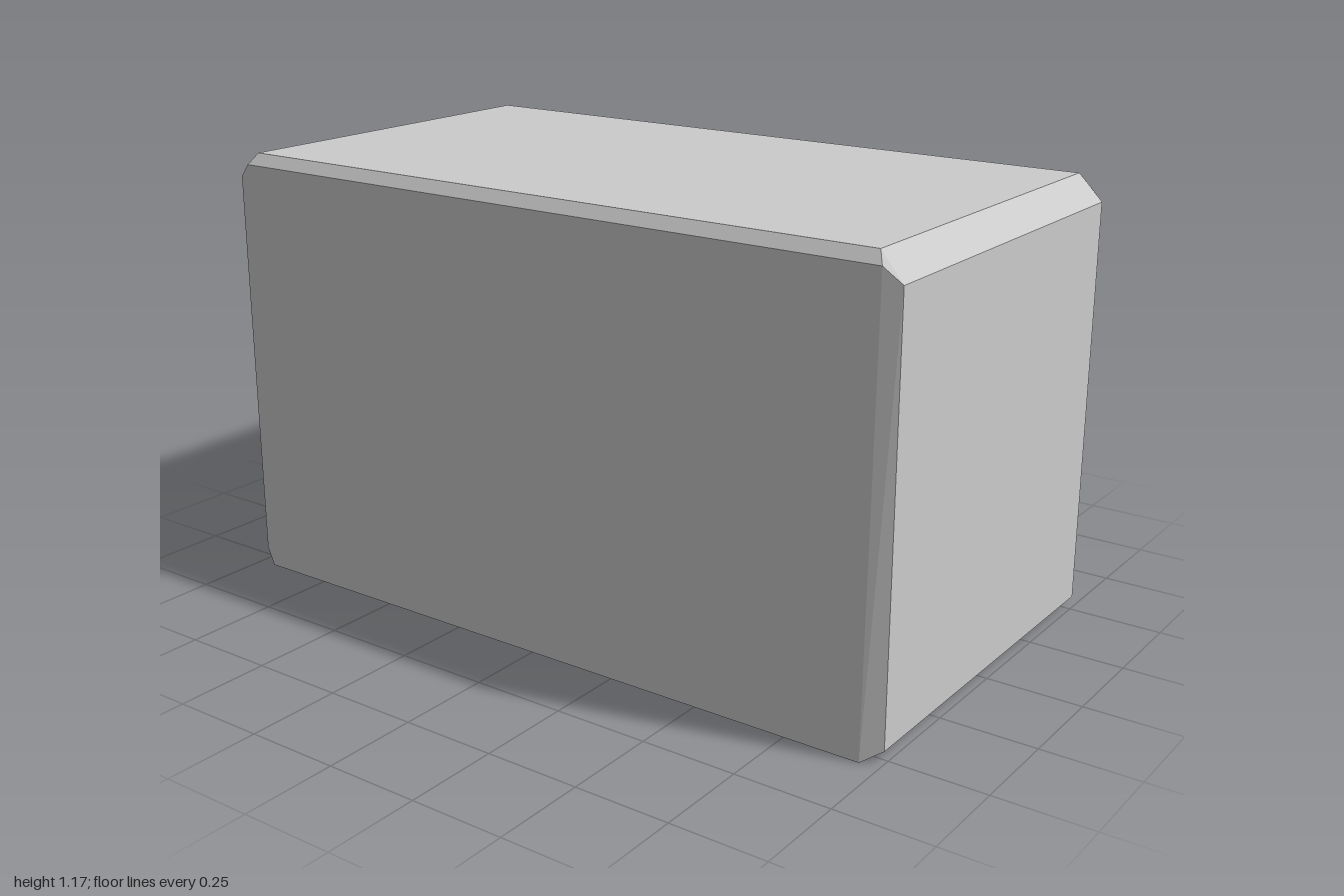
import * as THREE from 'three';
import { ConvexGeometry } from 'three/addons/geometries/ConvexGeometry.js';

const grey = new THREE.MeshStandardMaterial({ color: 0xcccccc, flatShading: true });
const black = new THREE.MeshStandardMaterial({ color: 0x0a0a0a });
const CX = -0.005; // body is slightly off centre because the buttons stick out

// x of the gently leaning control side at height y
const sideX = (y) => 0.535 - 0.0085 * y;
const LEAN = Math.atan(0.0085);

function add(group, name, geometry, material) {
  const mesh = new THREE.Mesh(geometry, material);
  mesh.name = name;
  group.add(mesh);
  return mesh;
}

// Chamfered shell, leaving out the +x face, which the control panel fills
function shellGeometry() {
  const points = [];
  for (const sx of [-1, 1]) for (const sz of [-1, 1]) {
    const p = (x, y, z) => points.push(new THREE.Vector3(CX + sx * x, y, sz * z));
    p(0.507, 1.175, 0.938);
    p(sideX(1.145) - CX, 1.145, 0.956);
    p(sideX(0) - CX, 0, 0.95);
    p(0.515, 1.107, 1);
    p(0.515, 0.033, 1);
  }
  const hull = new ConvexGeometry(points);
  const pos = hull.attributes.position, nor = hull.attributes.normal;
  const kept = [];
  for (let i = 0; i < pos.count; i += 3) {
    if (nor.getX(i) > 0.99) continue;
    for (let k = i; k < i + 3; k++) kept.push(pos.getX(k), pos.getY(k), pos.getZ(k));
  }
  const geometry = new THREE.BufferGeometry();
  geometry.setAttribute('position', new THREE.Float32BufferAttribute(kept, 3));
  geometry.computeVertexNormals();
  return geometry;
}

// Control side with a window opening, drawn in (-z, y) and leaned to match the shell
function panelGeometry(depth) {
  const shape = new THREE.Shape([
    [-0.95, 0], [0.95, 0], [0.956, 1.145], [-0.956, 1.145],
  ].map(([u, v]) => new THREE.Vector2(u, v)));
  shape.holes.push(new THREE.Path([
    [-0.81, 0.18], [-0.81, 1], [0.365, 1], [0.365, 0.18],
  ].map(([u, v]) => new THREE.Vector2(u, v))));
  const geometry = new THREE.ExtrudeGeometry(shape, { depth, bevelEnabled: false });
  geometry.rotateY(Math.PI / 2);
  const pos = geometry.attributes.position;
  for (let i = 0; i < pos.count; i++) pos.setX(i, pos.getX(i) + sideX(pos.getY(i)) - depth);
  geometry.computeVertexNormals();
  return geometry;
}

export function createModel() {
  const model = new THREE.Group();
  model.name = 'microwave';

  add(model, 'shell', shellGeometry(), grey);
  add(model, 'controlPanel', panelGeometry(0.02), grey);

  // Dark glass set just inside the opening
  const glass = add(model, 'doorWindow', new THREE.BoxGeometry(0.006, 0.83, 1.185), black);
  glass.position.set(sideX(0.59) - 0.013, 0.59, 0.2225);
  glass.rotation.z = LEAN;

  // Raised display
  const display = add(model, 'display', new THREE.BoxGeometry(0.016, 0.24, 0.335), black);
  display.position.set(sideX(0.877) - 0.001, 0.877, -0.663);
  display.rotation.z = LEAN;

  // Keypad of round buttons
  const keypad = new THREE.Group();
  keypad.name = 'keypad';
  const buttonGeometry = new THREE.CylinderGeometry(0.052, 0.052, 0.02, 32);
  buttonGeometry.rotateZ(-Math.PI / 2);
  const buttonMaterial = new THREE.MeshStandardMaterial({ color: 0xcccccc });
  for (const y of [0.588, 0.45, 0.312]) for (const z of [-0.527, -0.657, -0.789]) {
    add(keypad, 'button', buttonGeometry, buttonMaterial).position.set(0.531, y, z);
  }
  model.add(keypad);

  return model;
}
